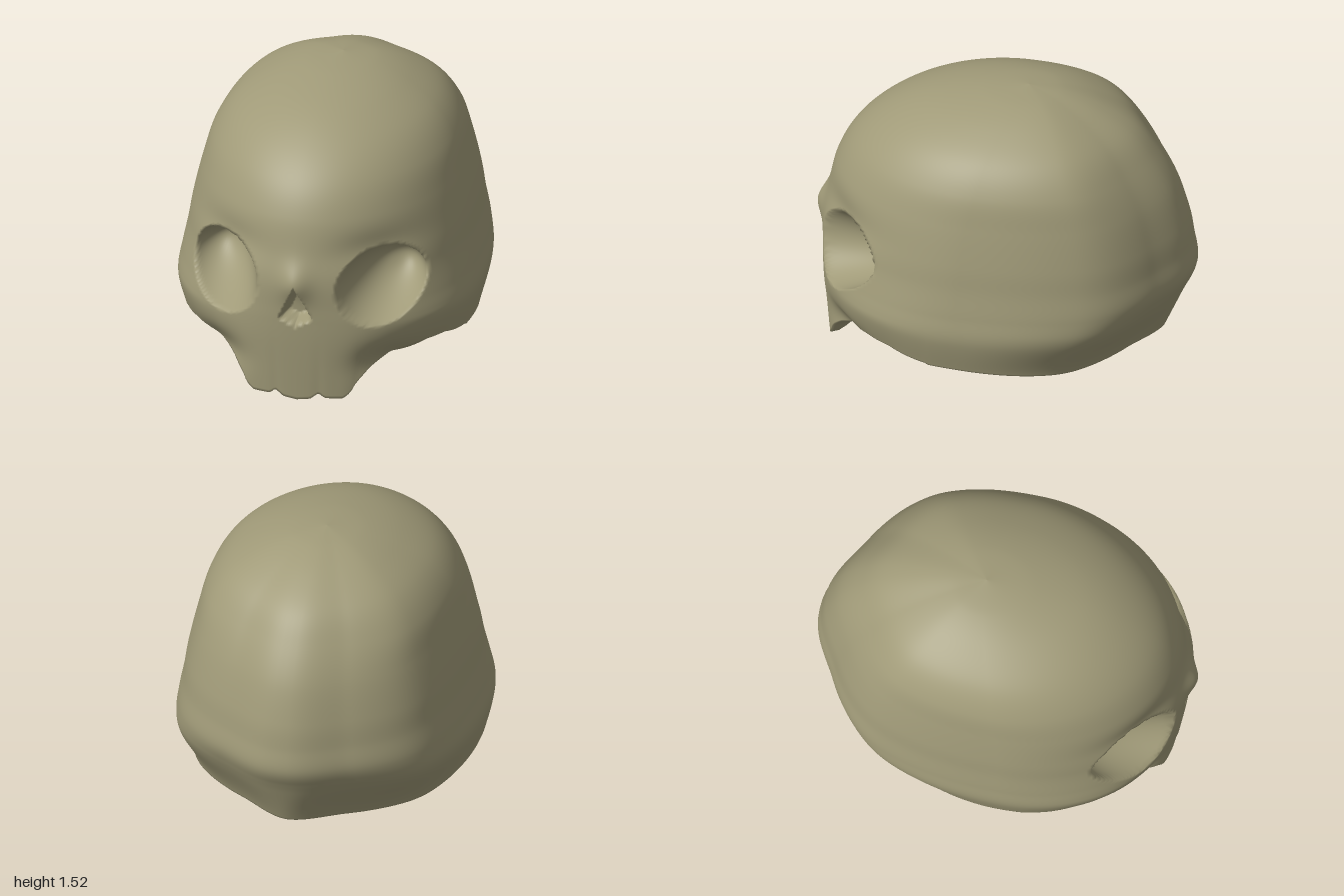
import * as THREE from 'three';

const { lerp, clamp, smoothstep } = THREE.MathUtils;

// Horizontal sections: height, half width, front z, back z, centre z
const SECTIONS = [
  [0.2, 0.75, 0.91, -0.84, 0.1], [0.39, 0.79, 0.94, -0.935, 0.1], [0.53, 0.772, 0.95, -1.0, 0.1],
  [0.67, 0.745, 0.955, -0.985, 0.1], [0.81, 0.722, 0.93, -0.96, 0.09], [1.01, 0.676, 0.885, -0.895, 0.07],
  [1.18, 0.625, 0.79, -0.795, 0.03], [1.32, 0.525, 0.63, -0.675, 0], [1.425, 0.365, 0.42, -0.5, -0.05],
  [1.492, 0.19, 0.14, -0.31, -0.1], [1.518, 0, -0.12, -0.12, -0.12],
];

// Lower edge of the face: distance from the middle, height (teeth, jaw, cheek)
const LOWER_EDGE = [
  [0, 0], [0.07, 0.01], [0.115, 0.045], [0.145, 0.018], [0.24, 0.018], [0.275, 0.05], [0.3, 0.1],
  [0.36, 0.17], [0.45, 0.235], [0.6, 0.27], [0.68, 0.262], [0.75, 0.21],
];

// Underside rings: scale towards the middle, height, blend to that height
const UNDERSIDE = [
  [0, 0.22, 1], [0.3, 0.22, 1], [0.48, 0.205, 1], [0.6, 0.165, 1], [0.68, 0.145, 1], [0.76, 0.147, 1],
  [0.82, 0.15, 0.88], [0.87, 0.15, 0.6], [0.91, 0.15, 0.28], [0.95, 0.15, 0.06], [0.985, 0.15, 0],
];

const HALF = 110, ROUND = HALF * 2, ROWS = 130, FACE_TOP = 0.45;

// Smooth blend between the sections, u from 0 (base) to 1 (crown)
function sectionAt(u) {
  const last = SECTIONS.length - 1;
  const i = Math.min(Math.floor(u * last), last - 1), t = u * last - i;
  const at = (n) => SECTIONS[clamp(n, 0, last)];
  return SECTIONS[i].map((b, k) => {
    const a = at(i - 1)[k], c = at(i + 1)[k], d = at(i + 2)[k];
    return b + 0.5 * t * (c - a + t * (2 * a - 5 * b + 4 * c - d + t * (3 * (b - c) + d - a)));
  });
}

function edgeHeight(ax) {
  const i = Math.max(1, LOWER_EDGE.findIndex(([x]) => x >= ax));
  const [x0, y0] = LOWER_EDGE[i - 1], [x1, y1] = LOWER_EDGE[i];
  return lerp(y0, y1, clamp((ax - x0) / (x1 - x0), 0, 1));
}

// Point on the plain rounded shell: full cheeks and back, slimmer brow and nape
function shell(angle, [y, w, front, back, mid]) {
  const s = Math.sin(angle), c = Math.cos(angle);
  const power = c > 0
    ? lerp(0.92, 1.03, smoothstep(y, 0.4, 0.7))
    : lerp(1.05, 0.85, smoothstep(y, 0.2, 0.45));
  const x = w * Math.sign(s) * Math.abs(s) ** power;
  let z = mid + ((c > 0 ? front : back) - mid) * Math.abs(c) ** power;
  // flattened either side of the middle of the back
  if (c < 0) z += 0.07 * smoothstep(-c, 0.5, 0.95) * smoothstep(Math.abs(s), 0, 0.4) * (w / 0.8);
  return new THREE.Vector3(x, y, z);
}

const bump = (d, r) => Math.exp(-(d * d) / (r * r));

// Eye sockets, nose and cheek hollows pressed into the front
function carve(p) {
  if (p.z < 0.25) return p;
  const ax = Math.abs(p.x), y = p.y;
  const r = Math.min(1, Math.hypot((ax - 0.412) / 0.203, (y - 0.637) / 0.203));
  p.z -= 0.33 * (1 - r ** 2.3) * (1 + 1.2 * (y - 0.64));
  // soft hollow under the brow
  p.z -= 0.03 * bump(ax - 0.39, 0.18) * bump(y - 0.84, 0.09) * r;
  // hollow between jaw and cheek
  p.z -= 0.07 * bump(ax - 0.46, 0.14) * bump(y - 0.2, 0.09);
  // bridge of the nose
  p.z += 0.04 * bump(ax, 0.08) * bump(y - 0.68, 0.1);
  // triangular nose opening with a notch below
  const inside = Math.min((0.67 - y) * 0.44 - ax, y - 0.44 - 0.35 * ax);
  p.z -= clamp(inside * 4, 0, 0.1);
  return p;
}

function skullGeometry() {
  const pos = [], index = [], angles = [], edges = [];
  for (let j = 0; j < ROUND; j++) {
    const t = (j - HALF) / HALF;
    const a = Math.PI * Math.sign(t) * Math.abs(t) ** 1.4;
    angles.push(a);
    // face edge in front, settling gently towards the back
    const face = edgeHeight(Math.min(0.75, Math.abs(shell(a, SECTIONS[0]).x)));
    edges.push(Math.abs(a) < 1.4 ? face : lerp(0.21, 0.16, smoothstep(Math.abs(a), 1.4, 2.3)));
  }

  // underside, from the middle out
  for (const [scale, height, blend] of UNDERSIDE) {
    angles.forEach((a, j) => {
      const p = shell(a, SECTIONS[0]);
      p.y = edges[j];
      carve(p);
      pos.push(p.x * scale, lerp(p.y, height, blend), p.z * scale);
    });
  }
  // face and cranium, from the lower edge up
  for (let i = 0; i <= ROWS; i++) {
    const section = sectionAt(i / ROWS);
    angles.forEach((a, j) => {
      const p = shell(a, section);
      if (p.y < FACE_TOP) p.y = lerp(edges[j], FACE_TOP, (p.y - 0.2) / (FACE_TOP - 0.2));
      pos.push(...carve(p).toArray());
    });
  }

  for (let i = 0; i < UNDERSIDE.length + ROWS; i++) {
    for (let j = 0; j < ROUND; j++) {
      const a = i * ROUND + j, b = i * ROUND + ((j + 1) % ROUND);
      index.push(a, b, b + ROUND, a, b + ROUND, a + ROUND);
    }
  }
  const g = new THREE.BufferGeometry();
  g.setAttribute('position', new THREE.Float32BufferAttribute(pos, 3));
  g.setIndex(index);
  g.computeVertexNormals();
  return g;
}

export function createModel() {
  const group = new THREE.Group();
  group.name = 'skull';
  const bone = new THREE.MeshStandardMaterial({ color: 0xa09a78 });
  const skull = new THREE.Mesh(skullGeometry(), bone);
  skull.name = 'cranium';
  group.add(skull);
  return group;
}
